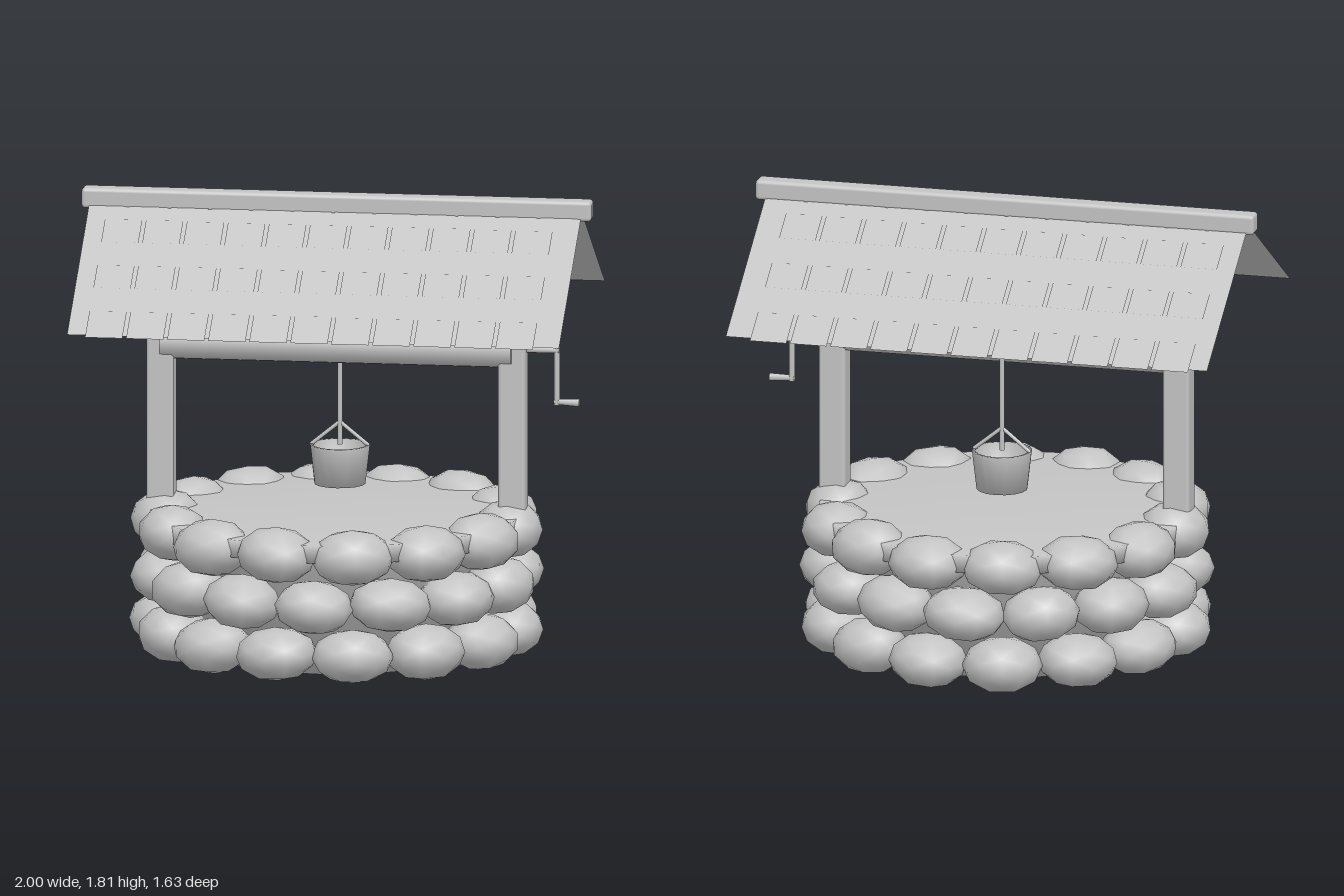
import * as THREE from 'three';
import { RoundedBoxGeometry } from 'three/addons/geometries/RoundedBoxGeometry.js';

const grey = new THREE.MeshStandardMaterial({ color: 0xc4c4c4, side: THREE.DoubleSide });
grey.name = 'plain grey';

let seed = 7;
const jitter = (amount) => {
  seed = (seed * 16807) % 2147483647;
  return (seed / 2147483647 - 0.5) * 2 * amount;
};

function add(parent, name, geometry, x = 0, y = 0, z = 0) {
  const mesh = new THREE.Mesh(geometry, grey);
  mesh.name = name;
  mesh.position.set(x, y, z);
  parent.add(mesh);
  return mesh;
}

// Straight round bar between two points
function bar(parent, name, a, b, r0, r1 = r0, sides = 8) {
  const from = new THREE.Vector3(...a), to = new THREE.Vector3(...b);
  const dir = to.clone().sub(from);
  const mesh = add(parent, name, new THREE.CylinderGeometry(r1, r0, dir.length(), sides));
  mesh.position.copy(from).add(to).multiplyScalar(0.5);
  mesh.quaternion.setFromUnitVectors(new THREE.Vector3(0, 1, 0), dir.normalize());
}

function lathe(parent, name, points, sides) {
  const profile = points.map(([r, y]) => new THREE.Vector2(r, y));
  return add(parent, name, new THREE.LatheGeometry(profile, sides));
}

function buildWall() {
  const wall = new THREE.Group();
  wall.name = 'stoneWall';
  // Closed core with a wider rim on top, softly shaded
  lathe(wall, 'wallCore', [[0, 0.02], [0.53, 0.02], [0.6, 0.5], [0.73, 0.5], [0.73, 0.57], [0, 0.57]], 28);
  // Three staggered courses of rounded stones
  const stone = new THREE.IcosahedronGeometry(1, 1);
  const count = 14;
  [0.118, 0.315, 0.512].forEach((y, row) => {
    for (let i = 0; i < count; i++) {
      const angle = ((i + (row % 2) * 0.5) / count) * Math.PI * 2;
      const mesh = add(wall, 'stone', stone, Math.cos(angle) * 0.67, y + jitter(0.005), Math.sin(angle) * 0.67);
      mesh.scale.set(0.16 + jitter(0.006), 0.109 + jitter(0.004), 0.142 + jitter(0.006));
      mesh.rotation.set(0, Math.PI / 2 - angle, jitter(0.08));
    }
  });
  return wall;
}

// One slope: thin sheet with staggered flat shingles
function buildSlope() {
  const slope = new THREE.Group();
  slope.name = 'roofSlope';
  const stretch = Math.hypot(1, 0.62);
  const flat = (w, d) => new THREE.PlaneGeometry(w, d).rotateX(-Math.PI / 2);
  add(slope, 'roofSheet', flat(1.93, 0.655 * stretch), -0.005, 0, 0.3275 * stretch);
  const pitch = 0.161, width = 0.146;
  let top = 0;
  [0.1, 0.21, 0.32, 0.43, 0.54, 0.67].forEach((edge, row) => {
    const odd = row % 2;
    const shingle = flat(width, (edge - top) * stretch);
    for (let i = 0; i < 12 - odd; i++) {
      const x = (odd ? -0.897 : -0.969) + width / 2 + i * pitch;
      // Each course rests slightly higher than the sheet
      add(slope, 'shingle', shingle, x, 0.003 + odd * 0.002, ((edge + top) / 2) * stretch);
    }
    top = edge;
  });
  slope.position.y = 1.772;
  slope.rotation.x = Math.atan(0.62);
  return slope;
}

function buildRoof() {
  const roof = new THREE.Group();
  roof.name = 'roof';
  for (const side of [1, -1]) {
    const half = new THREE.Group();
    half.name = 'roofHalf';
    half.scale.z = side;
    half.add(buildSlope());
    roof.add(half);
  }
  add(roof, 'ridgeBeam', new RoundedBoxGeometry(2, 0.08, 0.08, 2, 0.015), 0, 1.78, -0.003);
  return roof;
}

function buildWinch() {
  const winch = new THREE.Group();
  winch.name = 'winch';
  bar(winch, 'axle', [-0.69, 1.22, 0], [0.69, 1.22, 0], 0.073, 0.073, 12);
  // Crank with a slightly flared grip
  bar(winch, 'crankShaft', [0.68, 1.222, 0], [0.872, 1.222, 0], 0.013);
  bar(winch, 'crankArm', [0.862, 1.235, 0], [0.862, 1.005, 0], 0.012);
  bar(winch, 'crankGrip', [0.85, 1.018, 0], [0.95, 1.015, 0], 0.011, 0.016);
  return winch;
}

function buildBucket() {
  const bucket = new THREE.Group();
  bucket.name = 'bucket';
  lathe(bucket, 'pail', [[0, 0.655], [0.1, 0.655], [0.118, 0.81], [0.106, 0.81], [0.09, 0.67], [0, 0.67]], 16);
  for (const s of [-1, 1]) bar(bucket, 'bucketHandle', [s * 0.113, 0.808, 0], [0, 0.9, 0], 0.008);
  bar(bucket, 'rope', [0, 0.81, 0], [0, 1.2, 0], 0.01);
  bucket.position.z = -0.074;
  return bucket;
}

export function createModel() {
  const well = new THREE.Group();
  well.name = 'wishingWell';
  well.add(buildWall(), buildRoof(), buildWinch(), buildBucket());
  // Posts standing on the rim
  for (const s of [-1, 1]) {
    add(well, 'post', new RoundedBoxGeometry(0.108, 1.03, 0.106, 2, 0.015), s * 0.69, 1.015, 0);
  }
  return well;
}
